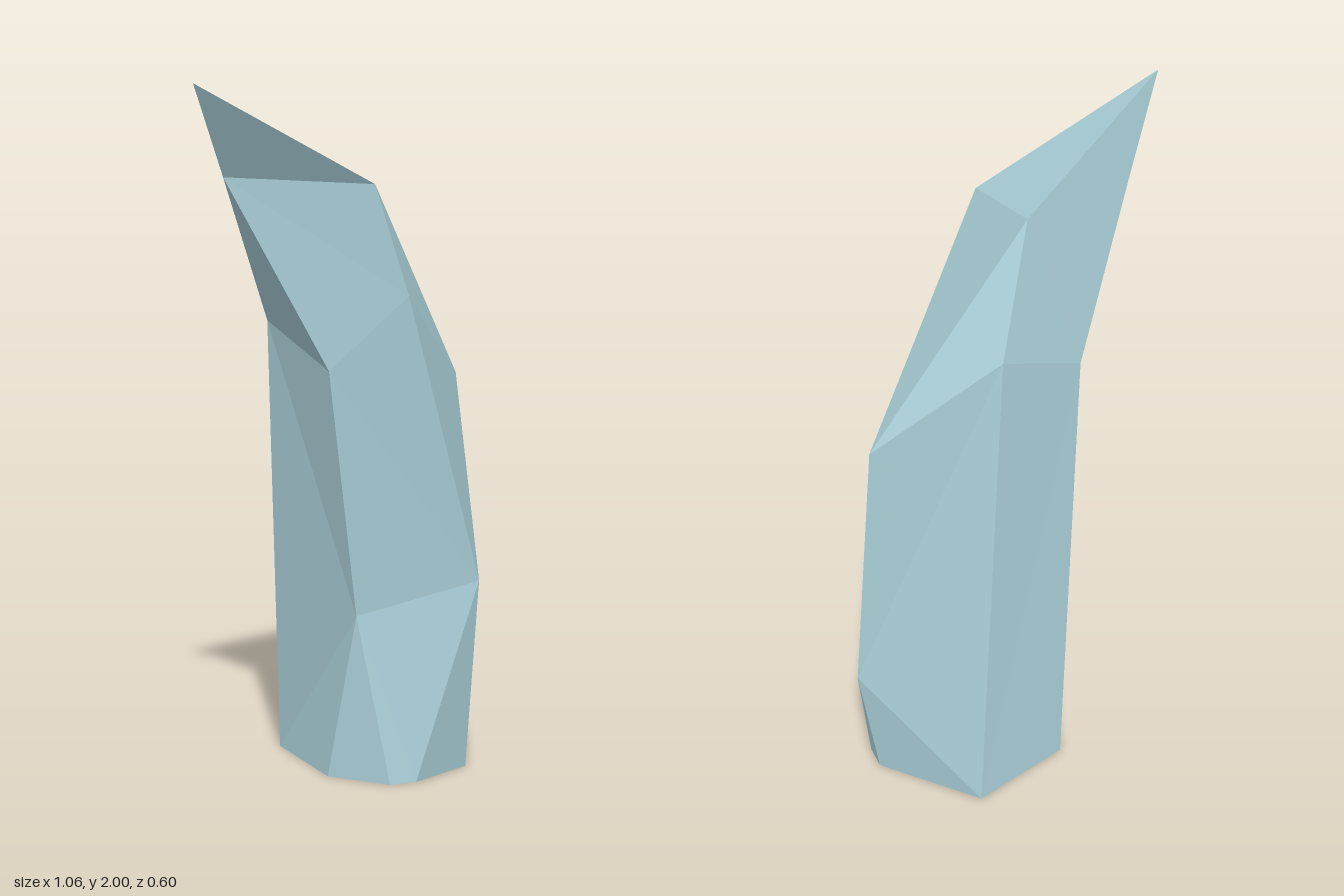
import * as THREE from 'three';

// Corner points of the faceted shard; lower case = base ring, capitals = upper corners
const points = {
  m: [0.28, 0, 0.24], n: [0.465, 0, 0.1], o: [0.49, 0, 0.03], p: [0.36, 0, -0.285],
  q: [0.045, 0, -0.3], r: [-0.065, 0, 0], s: [0, 0, 0.185], t: [0.07, 0, 0.225],
  G: [0.26, 0.58, 0.3], H: [0.53, 0.36, 0.063], J: [-0.03, 0.49, 0.08],
  D: [0.46, 1.15, 0.045], I: [-0.13, 1.21, 0.066], K: [0.035, 1.42, 0.217],
  E: [0.2, 1.45, -0.21], F: [-0.08, 1.33, -0.222],
  A: [0.04, 1.79, -0.133], B: [-0.05, 1.73, 0.165], C: [-0.36, 1.75, -0.114],
  T: [-0.53, 2, -0.05],
};

// Facets as counter-clockwise corner strings
const facets = [
  'srqponmt',                                   // underside
  'tmG', 'mHG', 'mnH', 'noH', 'opH',            // foot, front and left
  'qrJ', 'rsJ', 'stJ', 'tGJ',                   // foot, right
  'HpE', 'HED', 'GHD', 'GDK', 'KDB',            // shaft, left and front
  'pqFE', 'qJF', 'FJI', 'FIC',                  // shaft, back and right
  'JGI', 'GKI', 'IKC', 'KBC',                   // shaft, front right
  'DEA', 'DAB', 'EFA', 'FCA',                   // shoulder
  'CTA', 'BAT', 'CBT',                          // leaning point
];

// Fan each facet into separate flat triangles
function facetGeometry() {
  const positions = [];
  for (const facet of facets) {
    for (let i = 1; i < facet.length - 1; i++) {
      for (const corner of [facet[0], facet[i], facet[i + 1]]) positions.push(...points[corner]);
    }
  }
  const geometry = new THREE.BufferGeometry();
  geometry.setAttribute('position', new THREE.Float32BufferAttribute(positions, 3));
  geometry.computeVertexNormals();
  return geometry;
}

export function createModel() {
  const group = new THREE.Group();
  group.name = 'crystalShard';
  const paleBlue = new THREE.MeshStandardMaterial({ color: 0xa8cdd6 });
  paleBlue.name = 'paleBlue';
  paleBlue.flatShading = true;
  const shard = new THREE.Mesh(facetGeometry(), paleBlue);
  shard.name = 'shard';
  group.add(shard);
  return group;
}
